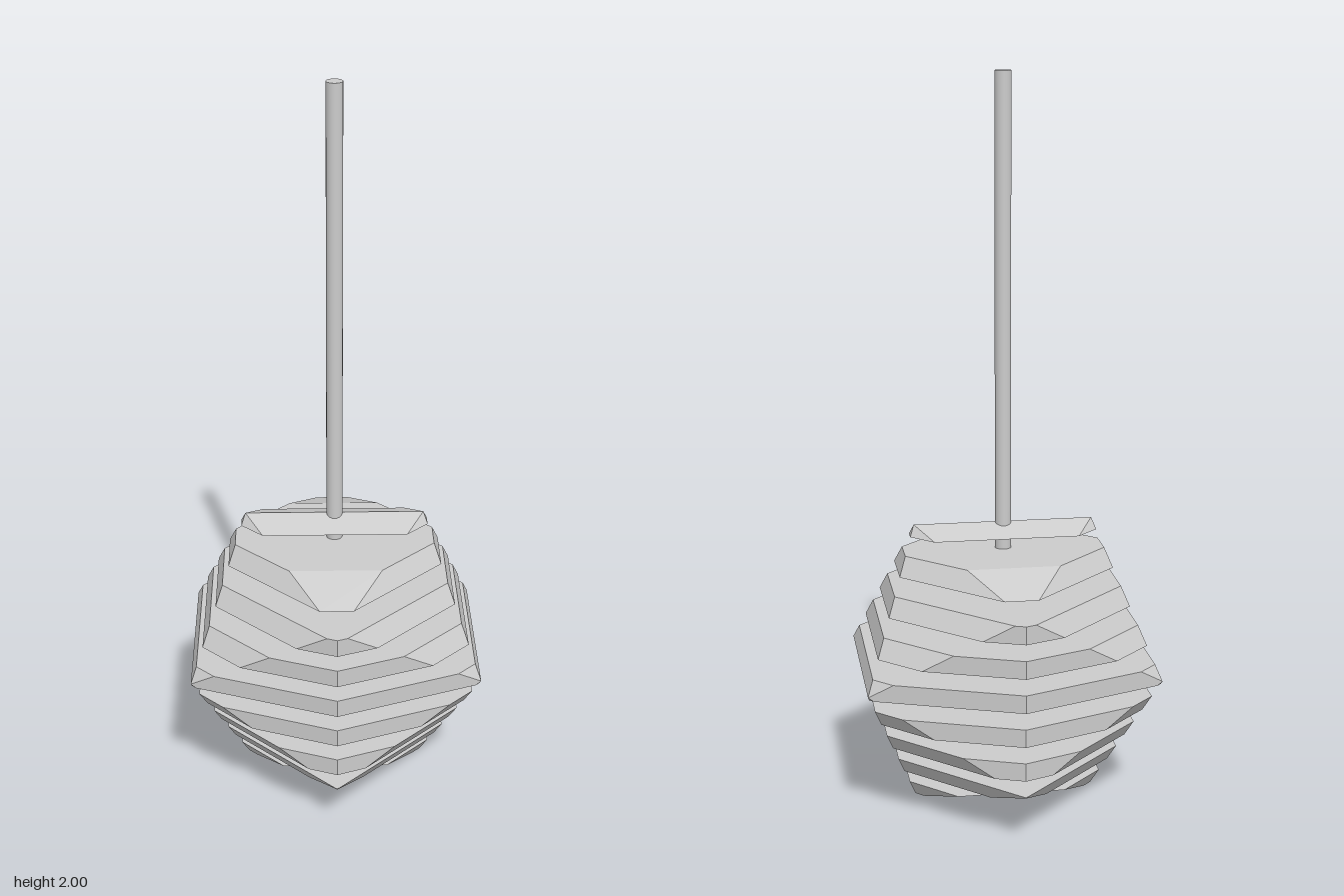
import * as THREE from 'three';
import { ConvexGeometry } from 'three/addons/geometries/ConvexGeometry.js';

const CENTER_Y = 0.387;  // middle of the sliced icosahedron
const LONG = 0.398;      // half extent along each axis
const SHORT = LONG / ((1 + Math.sqrt(5)) / 2);
const PITCH = 0.0944;    // slab spacing
const SLAB = 0.0497;     // slab thickness
const ROD_RADIUS = 0.0222;
const ROD_BOTTOM = 0.69;
const ROD_TOP = 2;

// Twelve icosahedron corners, with one edge lying along x at the top
function icosahedronCorners() {
  const corners = [];
  for (const a of [-1, 1]) {
    for (const b of [-1, 1]) {
      corners.push(
        new THREE.Vector3(a * SHORT, CENTER_Y + b * LONG, 0),
        new THREE.Vector3(0, CENTER_Y + a * SHORT, b * LONG),
        new THREE.Vector3(a * LONG, CENTER_Y, b * SHORT)
      );
    }
  }
  return corners;
}

// Part of the solid between two heights: inner corners plus edge crossings
function slabGeometry(corners, y0, y1) {
  const points = corners.filter((p) => p.y > y0 && p.y < y1);
  corners.forEach((p, i) => {
    for (const q of corners.slice(i + 1)) {
      if (p.distanceTo(q) > SHORT * 2.1) continue; // not an edge
      for (const y of [y0, y1]) {
        if ((p.y - y) * (q.y - y) < 0) {
          points.push(p.clone().lerp(q, (y - p.y) / (q.y - p.y)));
        }
      }
    }
  });
  return new ConvexGeometry(points);
}

export function createModel() {
  const model = new THREE.Group();
  model.name = 'slicedPendant';

  // Stack of separate faceted slabs
  const slabMaterial = new THREE.MeshStandardMaterial({ color: 0xcccccc, flatShading: true });
  const corners = icosahedronCorners();
  const slabs = new THREE.Group();
  slabs.name = 'slabs';
  for (let i = 0; i < 9; i++) {
    const y0 = i * PITCH;
    const slab = new THREE.Mesh(slabGeometry(corners, y0, y0 + SLAB), slabMaterial);
    slab.name = `slab${i + 1}`;
    slabs.add(slab);
  }
  model.add(slabs);

  // Suspension rod rising from the upper slabs
  const rod = new THREE.Mesh(
    new THREE.CylinderGeometry(ROD_RADIUS, ROD_RADIUS, ROD_TOP - ROD_BOTTOM, 20),
    new THREE.MeshStandardMaterial({ color: 0xcccccc })
  );
  rod.name = 'rod';
  rod.position.y = (ROD_TOP + ROD_BOTTOM) / 2;
  model.add(rod);

  return model;
}
